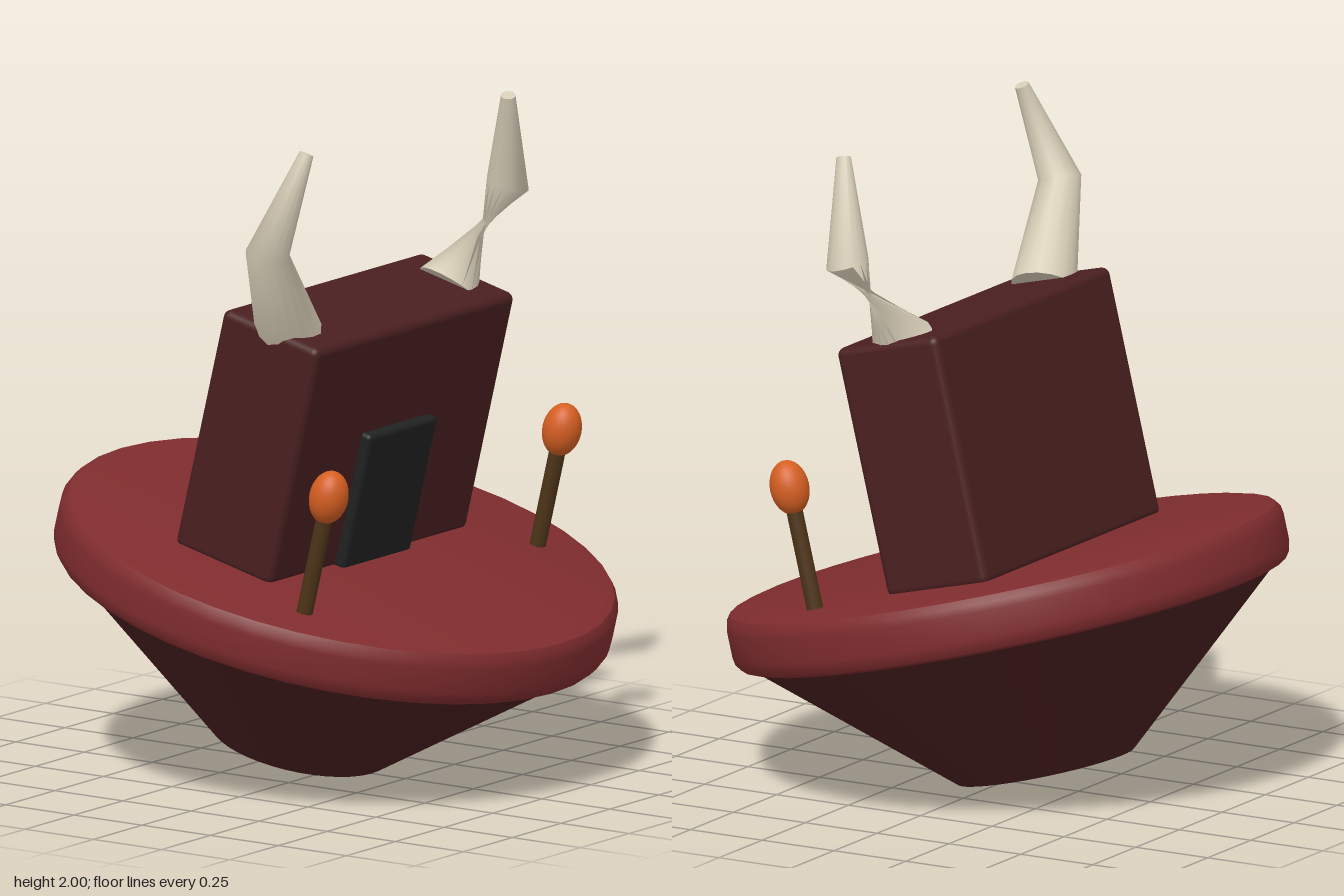
import * as THREE from 'three';
import { RoundedBoxGeometry } from 'three/addons/geometries/RoundedBoxGeometry.js';
import { toCreasedNormals } from 'three/addons/utils/BufferGeometryUtils.js';

const TILT = 0.24;      // whole model leans forward
const AXIS_Z = -0.148;  // centre of the round base before tilting

function material(name, color, side = THREE.FrontSide) {
  const m = new THREE.MeshStandardMaterial({ color, side });
  m.name = name;
  return m;
}

// Horn skin: three rings along a bent path, the lowest one turned by `twist`
function hornGeometry(side, twist) {
  const path = [[0.41, 1.405], [0.615, 1.695], [0.516, 2.0]]
    .map(([x, y]) => new THREE.Vector2(side * x, y));
  const radii = [0.1, 0.066, 0.022];
  const sides = 16;
  const lower = path[1].clone().sub(path[0]).normalize();
  const upper = path[2].clone().sub(path[1]).normalize();
  const tangents = [lower, lower.clone().add(upper).normalize(), upper];
  const positions = [], index = [];

  const addRing = (i) => {
    const start = positions.length / 3;
    for (let j = 0; j < sides; j++) {
      const a = (j / sides) * Math.PI * 2 + (i === 0 ? twist : 0);
      const c = Math.cos(a) * radii[i];
      positions.push(path[i].x + tangents[i].y * c, path[i].y - tangents[i].x * c, Math.sin(a) * radii[i]);
    }
    return start;
  };

  const rings = [0, 1, 2].map(addRing);
  for (let i = 0; i < 2; i++) {
    for (let j = 0; j < sides; j++) {
      const k = (j + 1) % sides;
      const a = rings[i] + j, b = rings[i + 1] + j, c = rings[i] + k, d = rings[i + 1] + k;
      index.push(a, b, c, c, b, d);
    }
  }
  // End caps with their own vertices
  const bottom = addRing(0), top = addRing(2);
  for (let j = 1; j < sides - 1; j++) {
    index.push(bottom, bottom + j, bottom + j + 1);
    index.push(top, top + j + 1, top + j);
  }
  const g = new THREE.BufferGeometry();
  g.setAttribute('position', new THREE.Float32BufferAttribute(positions, 3));
  g.setIndex(index);
  g.computeVertexNormals();
  return g;
}

export function createModel() {
  const model = new THREE.Group();
  model.name = 'tiltedHornedHouse';
  const body = new THREE.Group();
  body.name = 'tiltedBody';
  body.rotation.x = TILT;
  model.add(body);

  const red = material('deck red', 0x7f2c2e);
  const maroon = material('dark maroon', 0x4a1f20);
  const black = material('door black', 0x202121);
  const bone = material('horn bone', 0xd6ccb6, THREE.DoubleSide);
  const wood = material('torch wood', 0x4d3418);
  const orange = material('flame orange', 0xd65f22);

  const add = (name, geometry, mat, x, y, z) => {
    const mesh = new THREE.Mesh(geometry, mat);
    mesh.name = name;
    mesh.position.set(x, y, z);
    body.add(mesh);
    return mesh;
  };

  // Conical hull under the deck
  add('hull', new THREE.CylinderGeometry(0.805, 0.27, 0.47, 40), maroon, 0, 0.265, AXIS_Z);

  // Round deck with softened rims
  const rim = [[0, 0.494], [0.81, 0.494], [0.832, 0.502], [0.846, 0.522], [0.85, 0.545],
    [0.85, 0.622], [0.846, 0.645], [0.832, 0.665], [0.8, 0.674], [0, 0.674]]
    .map(([r, y]) => new THREE.Vector2(r, y));
  add('deck', toCreasedNormals(new THREE.LatheGeometry(rim, 40), 0.6), red, 0, 0, AXIS_Z);

  // House block and door
  add('house', new RoundedBoxGeometry(1.02, 0.765, 0.362, 4, 0.025), maroon, 0, 1.045, -0.227);
  add('door', new RoundedBoxGeometry(0.35, 0.435, 0.06, 4, 0.015), black, 0, 0.884, -0.044);

  // Paired torches and horns
  for (const [side, label, twist] of [[1, 'left', Math.PI * 0.96], [-1, 'right', 0]]) {
    add(label + 'TorchStick', new THREE.CylinderGeometry(0.025, 0.025, 0.36, 16), wood, side * 0.597, 0.838, 0.152);
    const flame = add(label + 'TorchFlame', new THREE.SphereGeometry(0.059, 24, 16), orange, side * 0.597, 1.046, 0.152);
    flame.scale.y = 1.4;
    add(label + 'Horn', hornGeometry(side, twist), bone, 0, 0, -0.225);
  }
  return model;
}
